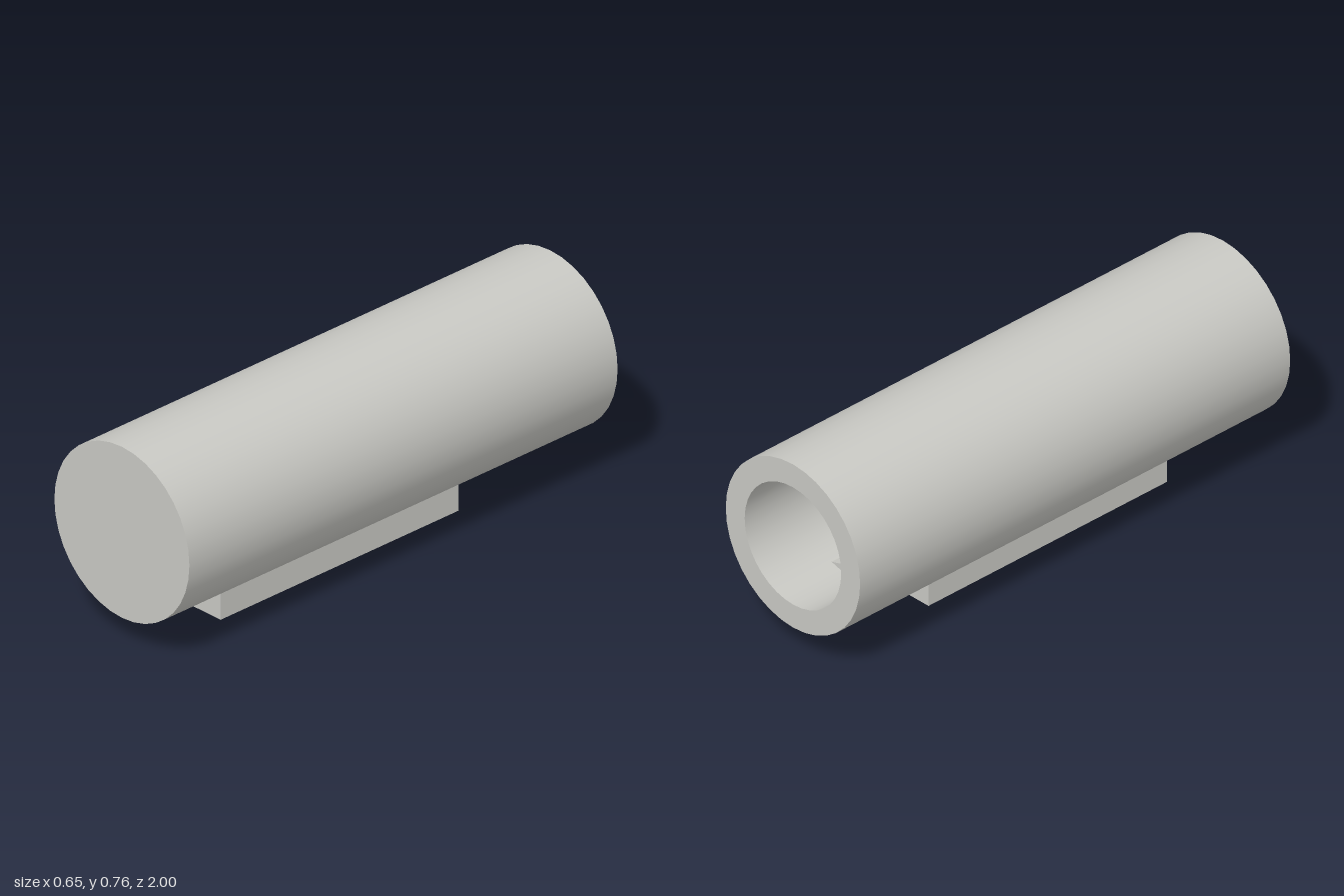
import * as THREE from 'three';
import { mergeGeometries } from 'three/addons/utils/BufferGeometryUtils.js';

const AXIS_Y = 0.429;
const OUTER = 0.327;
const BORE = 0.235;
const BORE_END = 0.8;

export function createModel() {
  const model = new THREE.Group();
  const grey = new THREE.MeshStandardMaterial({ color: 0xc8c8c3 });
  grey.name = 'warm grey';

  const add = (name, geometry, x, y, z) => {
    const mesh = new THREE.Mesh(geometry, grey);
    mesh.name = name;
    mesh.position.set(x, y, z);
    model.add(mesh);
  };

  // Tube: closed at the front, bored from the back; one lathe band per profile edge keeps rims sharp
  const profile = [
    [0, BORE_END], [BORE, BORE_END], [BORE, -1], [OUTER, -1], [OUTER, 1], [0, 1],
  ].map(([r, z]) => new THREE.Vector2(r, z));
  const bands = profile.slice(1).map((p, i) => new THREE.LatheGeometry([profile[i], p], 36));
  add('tube', mergeGeometries(bands).rotateX(Math.PI / 2), 0, AXIS_Y, 0);

  // Mounting rail under the tube, its top sunk into the wall
  add('mountingRail', new THREE.BoxGeometry(0.21, 0.15, 1.11), 0, 0.075, 0.085);

  // Low ledge along the bottom of the bore, cut off by a slightly tilted chord
  const ledge = new THREE.Shape();
  const start = Math.atan2(-0.138, -0.19) + Math.PI * 2;
  const end = Math.atan2(-0.217, 0.09) + Math.PI * 2;
  ledge.absarc(0, 0, BORE + 0.005, start, end, false);
  ledge.closePath();
  const ledgeStart = -0.74;
  add('boreLedge', new THREE.ExtrudeGeometry(ledge, {
    depth: BORE_END - ledgeStart, bevelEnabled: false, curveSegments: 12,
  }), 0, AXIS_Y, ledgeStart);

  return model;
}
